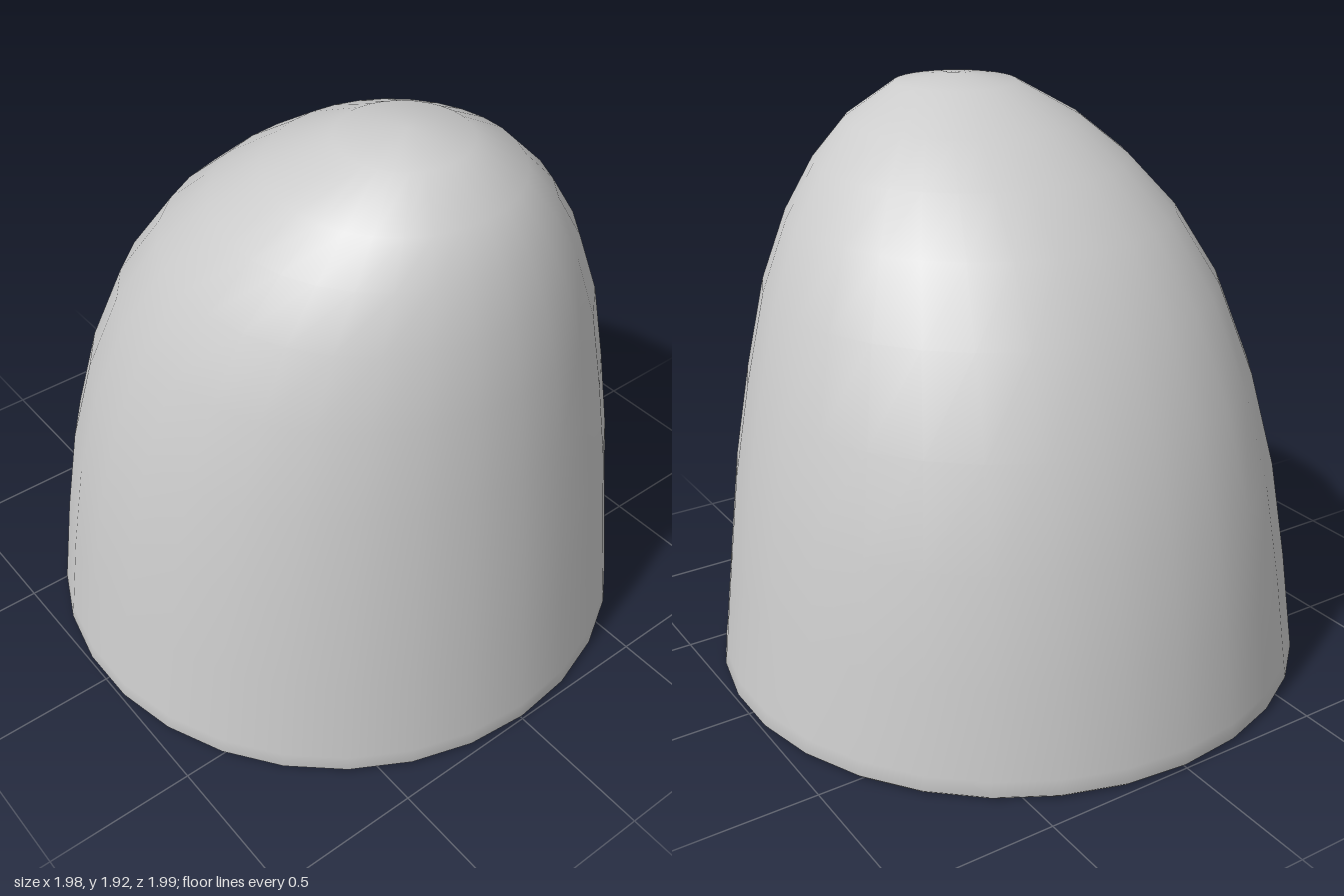
import * as THREE from 'three';

const SIDES = 30;
const material = new THREE.MeshStandardMaterial({ color: 0xcccccc });

// Smooth skin through circular sections [y, radius, z offset]
function loft(name, rings) {
  const positions = [], index = [];
  for (const [y, r, z = 0] of rings) {
    for (let k = 0; k < SIDES; k++) {
      const a = (k / SIDES) * Math.PI * 2;
      positions.push(r * Math.sin(a), y, z + r * Math.cos(a));
    }
  }
  for (let i = 0; i < rings.length - 1; i++) {
    for (let k = 0; k < SIDES; k++) {
      const a = i * SIDES + k, b = i * SIDES + (k + 1) % SIDES;
      const c = b + SIDES, d = a + SIDES;
      if (rings[i][1] > 0) index.push(a, b, c);
      if (rings[i][1] > 0 && rings[i + 1][1] > 0) index.push(a, c, d);
      if (rings[i][1] === 0) index.push(a, c, d);
    }
  }
  const geometry = new THREE.BufferGeometry();
  geometry.setAttribute('position', new THREE.Float32BufferAttribute(positions, 3));
  geometry.setIndex(index);
  geometry.computeVertexNormals();
  // Points where a ring closes share one vertical normal
  const normal = geometry.attributes.normal;
  rings.forEach(([, r], i) => {
    if (r > 0) return;
    for (let k = 0; k < SIDES; k++) {
      const n = i * SIDES + k;
      normal.setXYZ(n, 0, Math.sign(normal.getY(n)), 0);
    }
  });
  const mesh = new THREE.Mesh(geometry, material);
  mesh.name = name;
  return mesh;
}

export function createModel() {
  const group = new THREE.Group();
  group.name = 'leaningDome';

  const holeRadius = 0.79, holeDepth = 0.345, rimRadius = 0.985;

  // Outer shell: the sections drift forward as they narrow
  group.add(loft('shell', [
    [0, rimRadius],
    [0.012, 0.997],
    [0.06, 0.99],
    [0.36, 0.953, 0.006],
    [0.69, 0.907, 0.022],
    [1.0, 0.84, 0.05],
    [1.29, 0.753, 0.1],
    [1.51, 0.643, 0.158],
    [1.67, 0.52, 0.22],
    [1.79, 0.39, 0.27],
    [1.9, 0.205, 0.31],
    [1.925, 0, 0.32],
  ]));

  // Flat base rim and the round recess inside it
  group.add(loft('baseRim', [[0, holeRadius], [0, rimRadius]]));
  group.add(loft('recessWall', [[holeDepth, holeRadius], [0, holeRadius]]));
  group.add(loft('recessCeiling', [[holeDepth, 0], [holeDepth, holeRadius]]));

  return group;
}
